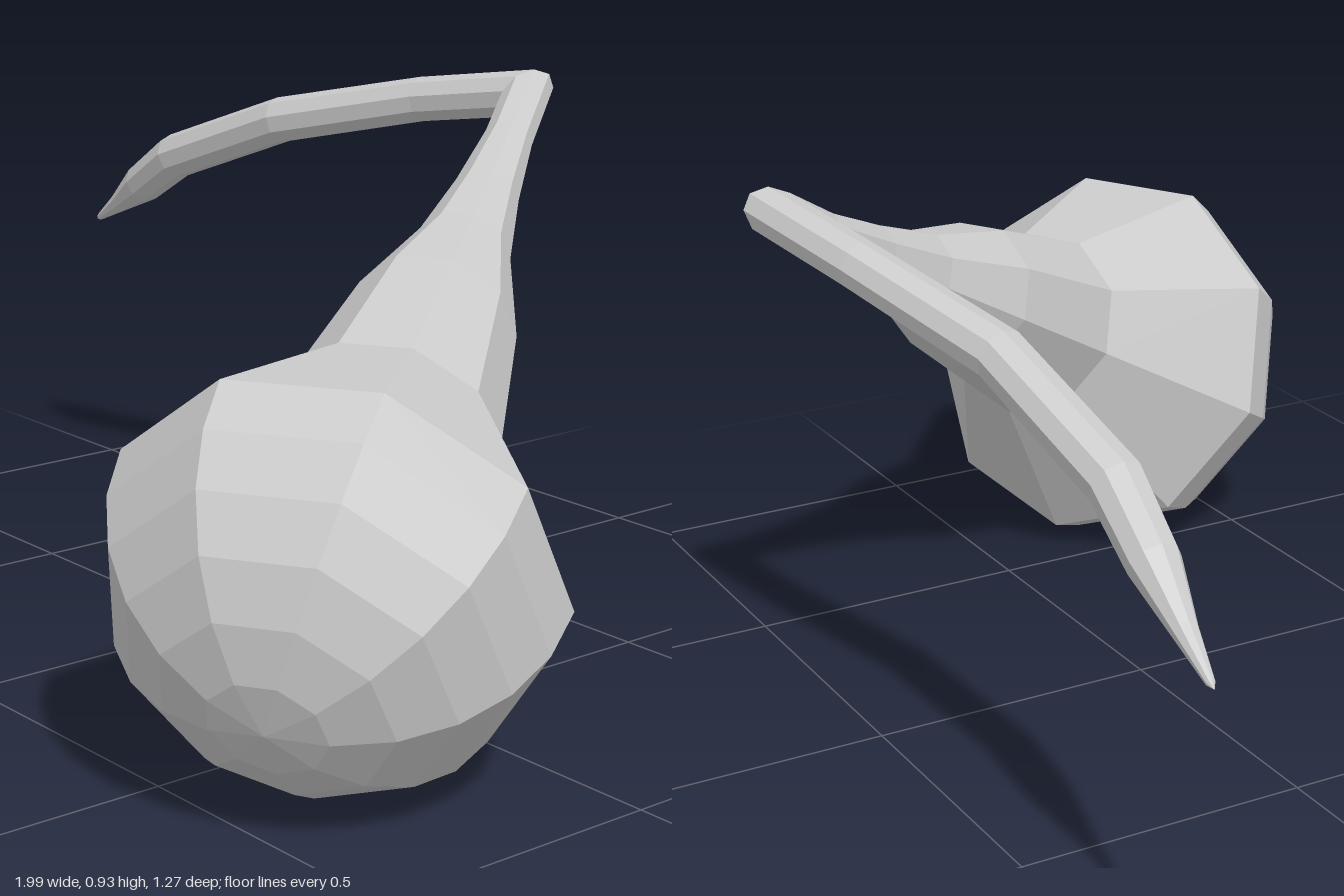
import * as THREE from 'three';

const SIDES = 9;
const V = (x, y, z) => new THREE.Vector3(x, y, z);

// Sweeps a polygon along sections [centre, radius], mitring each bend.
function loft(name, sections, up, material) {
  const pos = [], index = [];
  const n = sections.length;
  const dir = i => sections[i + 1][0].clone().sub(sections[i][0]).normalize();
  const u = up.clone();
  sections.forEach(([centre, radius], i) => {
    const dIn = dir(Math.max(i - 1, 0));
    const dOut = dir(Math.min(i, n - 2));
    const mitre = dIn.clone().add(dOut).normalize();
    u.addScaledVector(dIn, -u.dot(dIn)).normalize();
    const v = dIn.clone().cross(u);
    for (let j = 0; j < SIDES; j++) {
      const a = j / SIDES * Math.PI * 2;
      const o = u.clone().multiplyScalar(Math.cos(a) * radius).addScaledVector(v, Math.sin(a) * radius);
      o.addScaledVector(dIn, -o.dot(mitre) / dIn.dot(mitre)).add(centre);
      pos.push(o.x, o.y, o.z);
      if (i < n - 1) {
        const p = i * SIDES + j, q = i * SIDES + (j + 1) % SIDES;
        index.push(p, q, p + SIDES, q, q + SIDES, p + SIDES);
      }
    }
    u.applyQuaternion(new THREE.Quaternion().setFromUnitVectors(dIn, dOut));
  });
  const indexed = new THREE.BufferGeometry();
  indexed.setAttribute('position', new THREE.Float32BufferAttribute(pos, 3));
  indexed.setIndex(index);
  const geometry = indexed.toNonIndexed();
  geometry.computeVertexNormals();
  const mesh = new THREE.Mesh(geometry, material);
  mesh.name = name;
  return mesh;
}

export function createModel() {
  const group = new THREE.Group();
  group.name = 'gourd';
  const material = new THREE.MeshStandardMaterial({ color: 0xcccccc, flatShading: true });

  // Straight axis from the bulb's widest ring up to the neck's end
  const rim = V(0.647, 0.358, 0.282);
  const axis = V(-0.456, 0.46, -0.76).normalize();
  const up = V(0.51, 0.84, 0.21);
  const at = (s, r) => [rim.clone().addScaledVector(axis, s), r];

  // Bulb: faceted half ball, then a sloping shoulder
  const R = 0.352, bulb = [];
  for (let i = 0; i <= 6; i++) {
    const a = i / 6 * Math.PI / 2;
    bulb.push(at(-R * Math.cos(a), R * Math.sin(a)));
  }
  bulb.push(at(0.285, 0.172));
  group.add(loft('bulb', bulb, up, material));

  // Tapering neck
  const neck = [at(0.285, 0.172), at(0.54, 0.134), at(0.72, 0.079), at(0.87, 0.056), at(1.02, 0.042)];
  group.add(loft('neck', neck, up, material));

  // Stem: bends sharply at the neck's end and droops to a point
  const stem = [
    at(1.02, 0.042),
    [V(0.122, 0.893, -0.594), 0.041],
    [V(-0.1, 0.86, -0.55), 0.041],
    [V(-0.4, 0.793, -0.468), 0.043],
    [V(-0.69, 0.688, -0.44), 0.044],
    [V(-0.81, 0.617, -0.45), 0.04],
    [V(-0.91, 0.56, -0.462), 0.02],
    [V(-0.99, 0.517, -0.47), 0.007],
    [V(-1, 0.511, -0.47), 0],
  ];
  group.add(loft('stem', stem, up, material));
  return group;
}
